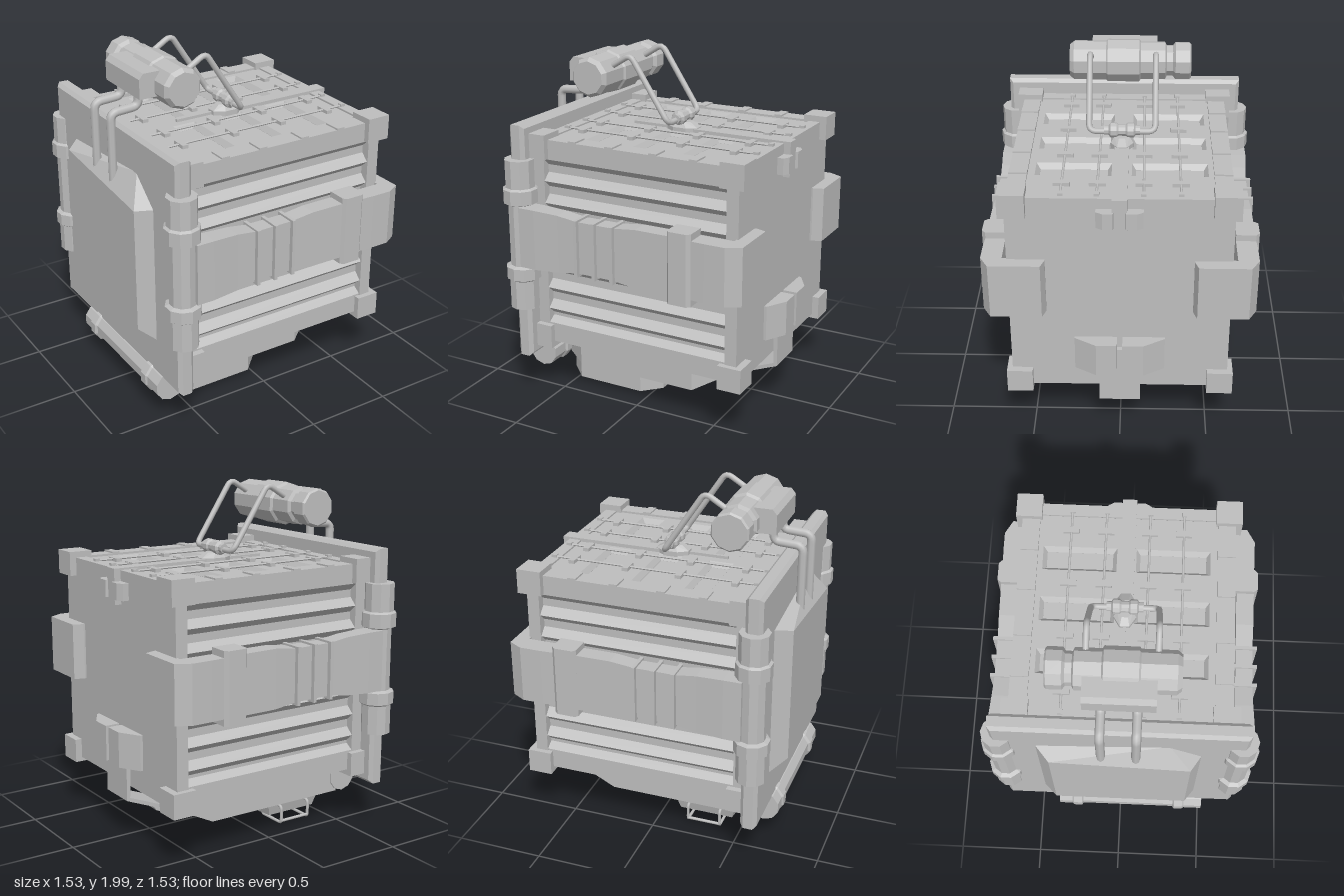
import * as THREE from 'three';
import { ConvexGeometry } from 'three/addons/geometries/ConvexGeometry.js';

export function createModel() {
  const root = new THREE.Group();
  const grey = new THREE.MeshStandardMaterial({ color: 0xbebebe });
  grey.name = 'grey';

  // ---- helpers ----
  function add(name, geo, flat = true) {
    if (flat) {
      if (geo.index) geo = geo.toNonIndexed();
      geo.computeVertexNormals();
    }
    const mesh = new THREE.Mesh(geo, grey);
    mesh.name = name;
    root.add(mesh);
  }
  const box = (name, x0, x1, y0, y1, z0, z1) =>
    add(name, new THREE.BoxGeometry(x1 - x0, y1 - y0, z1 - z0)
      .translate((x0 + x1) / 2, (y0 + y1) / 2, (z0 + z1) / 2));
  const toShape = pts => new THREE.Shape(pts.map(p => new THREE.Vector2(p[0], p[1])));
  const extrude = (pts, depth) => new THREE.ExtrudeGeometry(toShape(pts), { depth, bevelEnabled: false });
  // outline in (z, y), swept along x
  const sweepX = (name, pts, x0, x1) => add(name,
    extrude(pts.map(([z, y]) => [-z, y]), x1 - x0).rotateY(Math.PI / 2).translate(x0, 0, 0));
  // outline in (x, z), swept along y
  const sweepY = (name, pts, y0, y1) => add(name,
    extrude(pts.map(([x, z]) => [x, -z]), y1 - y0).rotateX(-Math.PI / 2).translate(0, y0, 0));
  // outline in (x, y), swept along z
  const sweepZ = (name, pts, z0, z1) => add(name, extrude(pts, z1 - z0).translate(0, 0, z0));
  const hull = (name, pts) => add(name, new ConvexGeometry(pts.map(p => new THREE.Vector3(...p))));
  const lathe = (pts, sides) => new THREE.LatheGeometry(pts.map(p => new THREE.Vector2(p[0], p[1])), sides);
  // pipe with rounded corners
  function pipe(name, pts, r, bend = 0.04) {
    const v = pts.map(p => new THREE.Vector3(...p));
    const path = new THREE.CurvePath();
    let from = v[0];
    for (let i = 1; i < v.length - 1; i++) {
      const a = v[i].clone().add(v[i - 1].clone().sub(v[i]).setLength(bend));
      const b = v[i].clone().add(v[i + 1].clone().sub(v[i]).setLength(bend));
      path.add(new THREE.LineCurve3(from, a));
      path.add(new THREE.QuadraticBezierCurve3(a, v[i], b));
      from = b;
    }
    path.add(new THREE.LineCurve3(from, v[v.length - 1]));
    add(name, new THREE.TubeGeometry(path, 48, r, 8), false);
  }

  // ---- body with louvred sides and grooved underside ----
  const half = [[0.6, 1.525], [0.6, 1.455]];
  for (let i = 0; i < 8; i++) {
    const y = 1.455 - i * 0.128, end = Math.max(y - 0.128, 0.47);
    half.push([0.555, y - 0.04], [0.555, Math.max(y - 0.085, end + 0.03)], [0.6, end]);
  }
  half.push([0.6, 0.355]);
  for (const z of [0.49, 0.362, 0.234, 0.106])
    half.push([z, 0.355], [z - 0.03, 0.395], [z - 0.06, 0.395], [z - 0.09, 0.355]);
  sweepX('body', [...half, ...half.map(([z, y]) => [-z, y]).reverse()], -0.53, 0.62);
  box('endPlate', 0.61, 0.68, 0.345, 1.565, -0.605, 0.605);
  box('rearPost', -0.6, -0.52, 0.345, 1.565, -0.6, 0.6);

  // roof with sunken pockets, edged by two rails
  const roof = toShape([[-0.58, -0.55], [0.63, -0.55], [0.63, 0.55], [-0.58, 0.55]]);
  for (const x of [-0.26, 0.045, 0.35]) for (const z of [-0.265, 0.255]) {
    const w = 0.05, d = 0.185;
    roof.holes.push(new THREE.Path([[-w, -d], [-w, d], [w, d], [w, -d]]
      .map(([a, b]) => new THREE.Vector2(x + a, -z + b))));
  }
  add('roof', new THREE.ExtrudeGeometry(roof, {
    depth: 0.002, bevelThickness: 0.03, bevelSize: 0.022, bevelOffset: -0.021, bevelSegments: 1,
  }).rotateX(-Math.PI / 2).translate(0, 1.524, 0));
  for (const s of [-1, 1]) {
    box('roofRail', -0.59, 0.62, 1.46, 1.568, s * 0.55 - 0.05, s * 0.55 + 0.05);
    for (const x of [-0.335, -0.1, 0.17, 0.41])
      box('roofClip', x - 0.024, x + 0.024, 1.53, 1.577, s * 0.55 - 0.05, s * 0.55 + 0.05);
  }

  // corner blocks
  for (const s of [-1, 1]) for (const y of [0.32, 1.46]) {
    const z0 = s > 0 ? 0.49 : -0.635;
    box('cornerBlock', 0.58, 0.72, y, y + 0.14, z0, z0 + 0.145);
    box('cornerBlock', -0.6, -0.49, y, y + 0.14, z0, z0 + 0.145);
  }

  // roof rods and their clamps
  for (const z of [-0.32, -0.125, 0.12, 0.31]) {
    add('rod', new THREE.CylinderGeometry(0.007, 0.007, 1.2, 6).rotateZ(Math.PI / 2).translate(0.045, 1.568, z));
    for (const x of [-0.545, 0.64]) box('rodCap', x - 0.015, x + 0.015, 1.55, 1.58, z - 0.014, z + 0.014);
    for (const x of [-0.43, -0.11, 0.2, 0.52])
      box('rodClamp', x - 0.018, x + 0.018, 1.55, 1.576, z - 0.045, z + 0.045);
  }

  // rear frame plate with bevelled rim, and raised panel
  const plate = toShape([[-0.675, 0.29], [0.675, 0.29], [0.675, 1.635], [-0.675, 1.635]]);
  add('framePlate', new THREE.ExtrudeGeometry(plate, {
    depth: 0.055, bevelThickness: 0.02, bevelSize: 0.02, bevelSegments: 1,
  }).rotateY(Math.PI / 2).translate(-0.665, 0, 0));
  hull('rearPanel', [
    [-0.68, 0.5, -0.46], [-0.68, 0.5, 0.45], [-0.68, 1.3, 0.45], [-0.68, 1.45, 0.27], [-0.68, 1.385, -0.46],
    [-0.77, 0.57, -0.38], [-0.77, 0.57, 0.39], [-0.77, 1.29, 0.39], [-0.77, 1.36, -0.38],
  ]);

  // hinge columns, side bands and wrap-round pads
  const column = [[0, 0.58], [0.085, 0.58], [0.085, 0.75], [0.1, 0.76], [0.1, 0.83], [0.075, 0.84],
    [0.075, 1.2], [0.1, 1.21], [0.1, 1.29], [0.085, 1.3], [0.085, 1.46], [0, 1.46]];
  const bandAt = [[-0.6, 0.175, 0.75], [-0.5, 0.175, 0.75], [-0.35, 0.167, 0.74], [-0.23, 0.15, 0.735],
    [0, 0.15, 0.735], [0.14, 0.167, 0.738], [0.34, 0.167, 0.74]];
  for (const s of [-1, 1]) {
    add('hingeColumn', lathe(column, 10).translate(-0.64, 0, s * 0.665));
    const g = new THREE.BoxGeometry(6, 2, 2, 6, 1, 1), p = g.attributes.position;
    for (let i = 0; i < p.count; i++) {
      const [x, h, z] = bandAt[Math.round(p.getX(i) + 3)];
      p.setXYZ(i, x, 1.025 + h * p.getY(i), p.getZ(i) * s > 0 ? s * z : s * 0.638);
    }
    add('sideBand', g);
    for (const x of [-0.225, -0.113, 0])
      box('bandRib', x - 0.01, x + 0.01, 0.86, 1.187, s * 0.69 - 0.07, s * 0.69 + 0.07);
    const buckle = [[0.335, 0.63], [0.335, 0.74], [0.35, 0.76], [0.455, 0.76], [0.475, 0.74], [0.475, 0.63]];
    sweepY('buckle', buckle.map(([x, z]) => [x, z * s]), 0.82, 1.225);
    const pad = [[0.46, 0.63], [0.46, 0.74], [0.55, 0.745], [0.67, 0.745], [0.75, 0.7], [0.75, 0.42],
      [0.69, 0.4], [0.67, 0.4], [0.67, 0.63]];
    sweepY('cornerPad', pad.map(([x, z]) => [x, z * s]), 0.86, 1.187);
  }

  // overhead canister with bracket and feed pipes
  const can = [[0, -0.39], [0.1, -0.39], [0.11, -0.38], [0.11, -0.3], [0.09, -0.285], [0.09, -0.25],
    [0.11, -0.24], [0.11, -0.1], [0.125, -0.09], [0.125, 0.09], [0.115, 0.1], [0.115, 0.285], [0.095, 0.31], [0, 0.31]];
  add('canister', lathe(can, 10).rotateX(Math.PI / 2).translate(-0.405, 1.867, 0));
  sweepZ('canisterBracket', [[-0.605, 1.81], [-0.42, 1.81], [-0.42, 1.95], [-0.58, 1.95], [-0.605, 1.92]], -0.195, 0.185);
  for (const z of [-0.1, 0.09])
    pipe('feedPipe', [[-0.73, 1.3, z], [-0.73, 1.73, z], [-0.565, 1.74, z], [-0.56, 1.85, z]], 0.025);

  // roof pivot and the two support arms
  for (const s of [-1, 1])
    pipe('supportArm', [[-0.42, 1.86, s * 0.185], [-0.2, 1.995, s * 0.185], [0.04, 1.63, s * 0.185], [0.04, 1.63, s * 0.05]], 0.017);
  add('pivot', lathe([[0, -0.1], [0.027, -0.1], [0.027, -0.075], [0.042, -0.065], [0.042, -0.03], [0.032, -0.02],
    [0.032, 0.02], [0.042, 0.03], [0.042, 0.065], [0.027, 0.075], [0.027, 0.1], [0, 0.1]], 10)
    .rotateX(Math.PI / 2).translate(0.04, 1.637, 0));
  hull('pivotBase', [0, 1, 2, 3, 4, 5, 6, 7].flatMap(i => {
    const a = (i + 0.5) * Math.PI / 4, c = Math.cos(a), d = Math.sin(a);
    return [[0.045 + 0.105 * c, 1.55, 0.068 * d], [0.045 + 0.105 * c, 1.58, 0.068 * d], [0.04 + 0.055 * c, 1.61, 0.045 * d]];
  }));
  box('roofRidge', -0.28, 0, 1.54, 1.572, -0.008, 0.008);
  box('roofBeam', 0.12, 0.72, 1.54, 1.576, -0.04, 0.04);

  // latches on the end plate
  box('upperLatchTab', 0.67, 0.72, 1.375, 1.576, -0.04, 0.04);
  for (const s of [-1, 1]) {
    sweepY('upperLatch', [[0.67, 0.02], [0.735, 0.035], [0.735, 0.09], [0.715, 0.125], [0.67, 0.125]]
      .map(([x, z]) => [x, z * s]), 1.41, 1.505);
    sweepY('lowerLatch', [[0.67, 0.015], [0.765, 0.015], [0.765, 0.13], [0.695, 0.25], [0.67, 0.25]]
      .map(([x, z]) => [x, z * s]), 0.475, 0.68);
  }
  sweepZ('strap', [[0.68, 0.61], [0.71, 0.61], [0.71, 0.26], [0.48, 0.165], [0.47, 0.185], [0.69, 0.275]], -0.115, 0.115);
  add('strapRoll', new THREE.CylinderGeometry(0.04, 0.04, 0.15, 10).rotateX(Math.PI / 2).translate(0.47, 0.175, 0));

  // underbody hopper
  hull('hopper', [
    [-0.6, 0.13, 0.27], [-0.45, 0.13, 0.39], [0.3, 0.13, 0.39], [0.3, 0.13, -0.37], [-0.6, 0.13, -0.37],
    [-0.6, 0.31, 0.27], [-0.45, 0.31, 0.39], [0.3, 0.31, 0.39], [0.6, 0.31, 0.2], [0.6, 0.31, -0.37],
    [-0.6, 0.31, -0.37], [0.6, 0.28, 0.2], [0.6, 0.28, -0.37],
  ]);

  // lower pod: an open rim around two sunken rings
  const outline = [[-0.56, 0.28], [-0.45, 0.39], [-0.04, 0.39], [0.06, 0.29], [0.06, -0.08], [-0.04, -0.18], [-0.46, -0.18], [-0.56, -0.08]];
  const rim = toShape(outline.map(([x, z]) => [x, -z]));
  rim.holes.push(new THREE.Path(outline.map(([x, z]) =>
    new THREE.Vector2(-0.25 + (x + 0.25) * 0.88, -(0.105 + (z - 0.105) * 0.88)))));
  add('lowerPod', new THREE.ExtrudeGeometry(rim, { depth: 0.1, bevelEnabled: false })
    .rotateX(-Math.PI / 2).translate(0, 0.04, 0));
  sweepY('podFloor', outline.map(([x, z]) => [-0.25 + (x + 0.25) * 0.95, 0.105 + (z - 0.105) * 0.95]), 0.1, 0.14);
  box('podStep', 0.04, 0.12, 0.11, 0.14, -0.06, 0.2);
  for (const [x, z, r] of [[-0.08, 0.06, 0.12], [-0.29, 0.09, 0.08]])
    add('podRing', lathe([[r - 0.02, 0.11], [r - 0.02, 0.055], [r, 0.055], [r + 0.01, 0.11]].reverse(), 12)
      .scale(-1, 1, 1).translate(x, 0, z).setIndex(flipped(lathe([[r, 0], [r, 1], [r, 2], [r, 3]], 12))));

  // side tray with handle
  hull('sideTray', [[-0.46, 0.14, -0.17], [-0.1, 0.14, -0.17], [-0.1, 0.14, -0.36], [-0.46, 0.14, -0.36],
    [-0.46, 0.065, -0.17], [-0.1, 0.065, -0.17], [-0.12, 0.065, -0.34], [-0.44, 0.065, -0.34]]);
  for (const x of [-0.375, -0.18])
    pipe('handleLeg', [[x, 0.1, -0.19], [x, 0.018, -0.19], [x, 0.018, -0.38], [x, 0.12, -0.38], [x, 0.12, -0.34]], 0.009, 0.02);
  pipe('handleBar', [[-0.375, 0.03, -0.38], [-0.18, 0.03, -0.38]], 0.009);

  // rear bottom roll
  add('rearRoll', lathe([[0, -0.38], [0.09, -0.38], [0.09, -0.3], [0.1, -0.29], [0.1, -0.24], [0.085, -0.23], [0.085, 0.33],
    [0.1, 0.34], [0.1, 0.39], [0.09, 0.4], [0.09, 0.51], [0, 0.51]], 10).rotateX(Math.PI / 2).translate(-0.64, 0.22, 0));
  return root;
}

// triangle order reversed, to match a mirrored geometry
function flipped(geo) {
  return Array.from(geo.index.array).reverse();
}
